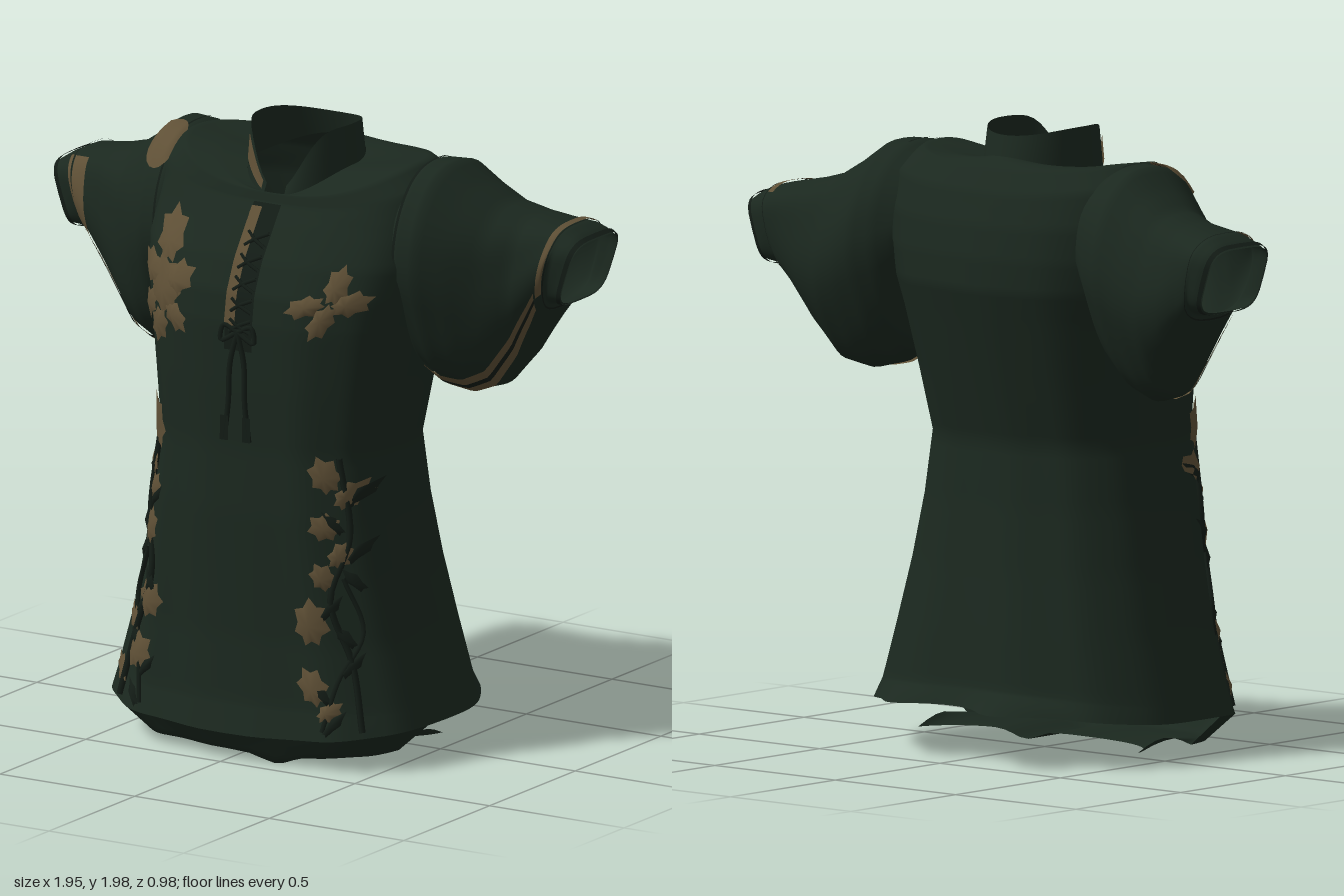
import * as THREE from 'three';
import { mergeVertices } from 'three/addons/utils/BufferGeometryUtils.js';

const mat = (name, color) => {
  const m = new THREE.MeshStandardMaterial({ color, side: THREE.DoubleSide });
  m.name = name;
  return m;
};
const { sin, cos, sign, abs, pow, exp, PI } = Math;
const spow = (v, p) => sign(v) * pow(abs(v), p);
const lerp = THREE.MathUtils.lerp;

// Smooth surface from a function of (u, v) in 0..1
function grid(fn, nu, nv) {
  const pos = [], idx = [];
  for (let j = 0; j <= nv; j++) for (let i = 0; i <= nu; i++) pos.push(...fn(i / nu, j / nv));
  for (let j = 0; j < nv; j++) for (let i = 0; i < nu; i++) {
    const a = j * (nu + 1) + i, b = a + nu + 1;
    idx.push(a, a + 1, b, a + 1, b + 1, b);
  }
  const g = new THREE.BufferGeometry();
  g.setAttribute('position', new THREE.Float32BufferAttribute(pos, 3));
  g.setIndex(idx);
  const merged = mergeVertices(g, 1e-4);
  merged.computeVertexNormals();
  return merged;
}
// Linear lookup in a table of rows, t in 0..1
function row(rows, t) {
  const f = Math.min(Math.max(t, 0), 1) * (rows.length - 1), i = Math.min(Math.floor(f), rows.length - 2);
  return rows[i].map((v, k) => lerp(v, rows[i + 1][k], f - i));
}

// Body rows: front y, side y, back y, half width, front z, back z
const BODY = [
  [.10, .14, .18, .58, .475, -.41], [.20, .20, .24, .565, .445, -.37], [.4, .4, .4, .51, .425, -.345],
  [.6, .6, .6, .465, .42, -.31], [.8, .8, .8, .43, .415, -.28], [1, 1, 1, .405, .40, -.26],
  [1.2, 1.2, 1.2, .43, .40, -.31], [1.4, 1.4, 1.4, .46, .395, -.36], [1.5, 1.5, 1.5, .48, .38, -.385],
  [1.6, 1.6, 1.6, .50, .335, -.38], [1.7, 1.72, 1.7, .505, .265, -.36], [1.76, 1.84, 1.8, .49, .22, -.32],
  [1.79, 1.9, 1.87, .42, .21, -.26], [1.79, 1.88, 1.89, .29, .205, -.23], [1.78, 1.86, 1.9, .175, .195, -.205]];
const FRONT = 2.85, BACK = 2.4;
const gauss = (x, w) => exp(-x * x / (w * w));

function body(th, t) {
  const [yF, yS, yB, w, zf, zb] = row(BODY, t);
  const s = sin(th), c = cos(th);
  // boxy below, rounder towards the neck
  const p = 2 / lerp(c > 0 ? FRONT : BACK, 2.1, Math.max(0, t - .8) * 5);
  const fold = t < .75 ? 1 + (.018 * (1 - t / .75) + .004) * cos(11 * th + 5 * t) : 1;
  const x = w * spow(s, p);
  let z = (zf + zb) / 2 + (zf - zb) / 2 * spow(c, p) * fold;
  // flared tips of the back hem
  if (c < 0) z -= Math.max(0, 1 - t / .055) * (.09 * gauss(x + .2, .12) + .06 * gauss(x - .27, .1));
  return [x, yS + ((c > 0 ? yF : yB) - yS) * c * c, z];
}
// Point on the front of the body above (x, y), lifted by d
function onFront(x, y, d = .008) {
  let th = 0, t = 0;
  for (let k = 0; k < 6; k++) {
    let lo = 0, hi = 1;
    for (let n = 0; n < 18; n++) { t = (lo + hi) / 2; body(th, t)[1] < y ? lo = t : hi = t; }
    th = sign(x) * Math.asin(Math.min(.985, pow(abs(x) / row(BODY, t)[3], FRONT / 2)));
  }
  return [x, y, body(th, t)[2] + d];
}

// Sleeve rings: x, bottom y, top y, back z, front z, tilt
const SLEEVE = [
  [.38, 1.36, 1.87, -.29, .16, 0], [.44, 1.24, 1.90, -.33, .19, 0], [.51, 1.19, 1.90, -.35, .18, 0],
  [.59, 1.17, 1.84, -.345, .13, 0], [.67, 1.19, 1.785, -.34, .07, .02], [.75, 1.28, 1.76, -.335, .02, .06],
  [.82, 1.39, 1.745, -.33, 0, .12], [.865, 1.45, 1.735, -.33, -.015, .2], [.88, 1.48, 1.73, -.325, -.03, .25],
  [.91, 1.485, 1.715, -.32, -.035, .3], [.94, 1.49, 1.695, -.31, -.04, .33]];
function sleeve(side, a, t, d = 0) {
  const [x, y0, y1, z0, z1, tilt] = row(SLEEVE, t);
  const p = lerp(.85, .5, Math.max(0, t - .5) * 2);
  const c = spow(cos(a), p), s = spow(sin(a), p);
  const pucker = 1 + .03 * sin(5 * a + 9 * t) * sin(PI * t);
  const taper = c < 0 ? 1 + .38 * c * (1 - t) : 1;
  const dy = ((y1 - y0) / 2 + d) * c;
  const dz = ((z1 - z0) / 2 * taper + d) * s * pucker;
  return [side * (x + tilt * dy), (y0 + y1) / 2 + dy, (z0 + z1) / 2 + dz];
}

// Jagged leaf: fan with a raised middle, laid outside (face 1) or inside (face -1) the body
function leaf(x, y, len, wid, rot, lobes = 3, face = 1) {
  const n = lobes * 4 + 2, pos = [...onFront(x, y, .03 * face)], idx = [];
  for (let i = 0; i < n; i++) {
    const a = i / n * 2 * PI, r = (i % 2 ? .72 : 1) * (1 + .15 * cos(a));
    const px = wid / 2 * r * sin(a), py = len / 2 * r * cos(a);
    pos.push(...onFront(x + px * cos(rot) - py * sin(rot), y + px * sin(rot) + py * cos(rot), .012 * face));
    idx.push(0, 1 + (i + 1) % n, 1 + i);
  }
  const g = new THREE.BufferGeometry();
  g.setAttribute('position', new THREE.Float32BufferAttribute(pos, 3));
  g.setIndex(idx);
  g.computeVertexNormals();
  return g;
}
// Cord following the front of the body
function cord(pts, r, d = .008) {
  const curve = new THREE.CatmullRomCurve3(pts.map(([x, y]) => new THREE.Vector3(...onFront(x, y, d))));
  return new THREE.TubeGeometry(curve, pts.length * 5, r, 5);
}

export function createModel() {
  const green = mat('dark green cloth', 0x1b281f);
  const dark = mat('deep green trim', 0x131c16);
  const brown = mat('brown leaf', 0x5f5036);
  const group = new THREE.Group();
  const add = (name, geo, m) => {
    const mesh = new THREE.Mesh(geo, m);
    mesh.name = name;
    group.add(mesh);
  };

  add('shirtBody', grid((u, v) => body(u * 2 * PI, v), 96, 84), green);

  // Front hem rolled under
  add('frontHemFold', grid((u, v) => {
    const th = lerp(-1.35, 1.35, u), [x, y, z] = body(th, 0), dip = .03 * gauss(x - .2, .08);
    const k = Math.min(1, v * 3), inner = Math.max(0, (v - 1 / 3) * 1.5), side = pow(abs(u - .5) * 2, 2);
    return [x * (1 - .2 * k), lerp(y, .04 - dip, k) + .035 * sin(PI * inner) * side,
      lerp(z - .04 * k * cos(th), .1 - .18 * side, inner)];
  }, 40, 9), green);

  // Sleeves with trims
  for (const side of [1, -1]) {
    const n = side > 0 ? 'left' : 'right';
    const patch = (a0, a1, t0, t1, d = .006) =>
      grid((u, v) => sleeve(side, lerp(a0, a1, u), lerp(t0, t1, v), d), 32, 6);
    // band running along the lower front edge, w = half its angle
    const trim = (shift, w) => grid((u, v) =>
      sleeve(side, lerp(2.75, 1.95, v * v) + shift + lerp(-w, w, u), lerp(.13, .66, v), .008), 6, 24);
    add(n + 'Sleeve', grid((u, v) => sleeve(side, u * 2 * PI, v), 48, 40), green);
    if (side > 0) {
      add('leftSleeveUpperTrim', trim(-.12, .07), brown);
      add('leftSleeveMiddleTrim', trim(0, .05), dark);
      add('leftSleeveLowerTrim', trim(.15, .1), brown);
      add('leftCuffBand', patch(-.7, 1.9, .67, .73), brown);
    } else {
      add('rightSleeveTrim', trim(.05, .06), dark);
      add('rightSleeveLowerTrim', trim(.2, .05), brown);
      add('rightCuffBand', patch(.6, 1.95, .6, .72), brown);
      add('rightCuffStripe', patch(.6, 2.3, .77, .82), brown);
    }
    add(n + 'CuffEdge', patch(0, 2 * PI, .95, 1), dark);
    add(n + 'CuffSeam', patch(0, 2 * PI, .74, .76), dark);
    add(n + 'ShoulderSeam', patch(-.2, 2.2, .1, .112, .004), dark);
  }
  add('shoulderPatch', grid((u, v) =>
    sleeve(-1, .52 + .4 * v * cos(u * 2 * PI), .15 + .09 * v * sin(u * 2 * PI), .008), 20, 5), brown);

  // Standing collar, open at the front
  const collar = (th, v, d = 0) => {
    const b = body(th, 1), c = cos(th);
    const top = c > 0 ? 1.99 - .2 * pow(c, 5) : 1.99 - .025 * c * c;
    return [b[0] * (1 - .04 * v) + d * sin(th), lerp(b[1] - .01, top, v), b[2] * (1 - .1 * v) + d * c];
  };
  add('collar', grid((u, v) => collar(lerp(.2, 2 * PI - .2, u), v), 48, 6), green);
  add('collarTrim', grid((u, v) => collar(lerp(-.8, -.25, u), lerp(.4, .95, v), .006), 10, 4), brown);

  // Neck opening, placket and lacing
  const strip = (x0, x1, y0, y1, d) => grid((u, v) => onFront(lerp(x0, x1, u), lerp(y0, y1, v), d), 4, 20);
  add('neckOpening', strip(-.05, .05, 1.32, 1.76, .004), dark);
  add('placketEdge', strip(-.05, -.012, 1.4, 1.75, .009), brown);
  for (let i = 0; i < 5; i++) {
    const y = 1.38 + i * .065;
    add('lace', cord([[-.03, y], [0, y + .02], [.045, y + .04]], .006), dark);
    add('lace', cord([[.045, y], [0, y + .02], [-.03, y + .04]], .006), dark);
  }
  for (const s of [1, -1]) {
    add('lacingTie', cord([[0, 1.38], [s * .025, 1.28], [s * .03, 1.15], [s * .045, 1.03]], .009), dark);
    add('tieEnd', strip(s * .04 - .015, s * .04 + .015, 1.03, 1.11, .016), dark);
    add('tieBow', cord([[0, 1.38], [s * .05, 1.4], [s * .06, 1.35], [0, 1.38]], .008), dark);
  }

  // Vines climbing both sides of the front
  for (const s of [1, -1]) {
    add('vine', cord([[s * .45, .14], [s * .4, .35], [s * .33, .55], [s * .37, .75], [s * .33, 1]], .011), dark);
    add('vine', cord([[s * .34, .14], [s * .37, .3], [s * .42, .45], [s * .36, .62]], .008), dark);
    for (let i = 0; i < 9; i++) {
      const y = .16 + i * .09, x = .37 - .04 * sin(i * 2);
      add('vineLeaf', leaf(s * x, y, .1, .035, s * (i % 2 ? .7 : -.6), 2), dark);
    }
  }

  // Brown leaves: x, y, length, width, turn
  const leaves = [
    [-.31, 1.62, .18, .13, .1], [-.37, 1.52, .14, .1, 1], [-.25, 1.51, .15, .11, -1], [-.30, 1.47, .2, .16, .3],
    [-.38, 1.41, .13, .09, 2.4], [-.25, 1.40, .13, .08, -2.3], [-.32, 1.36, .12, .09, 3],
    [.32, 1.55, .13, .08, -.2], [.24, 1.49, .14, .07, 1.9], [.36, 1.50, .12, .08, -1.2], [.29, 1.45, .14, .07, 2.6],
    [-.34, 1.02, .19, .1, .2], [-.37, .9, .12, .09, .8], [-.34, .82, .1, .07, -.5], [-.35, .69, .13, .08, -.2],
    [-.34, .46, .13, .12, -.6], [-.42, .38, .1, .07, .6], [-.38, .29, .14, .12, -.9], [-.46, .21, .11, .07, .7],
    [.30, .94, .13, .09, .4], [.36, .88, .11, .07, -.6], [.31, .78, .1, .09, .9], [.35, .69, .1, .07, -.4],
    [.31, .62, .1, .07, .5], [.28, .47, .16, .12, .1], [.30, .27, .14, .1, .6], [.35, .2, .09, .06, -.9]];
  for (const [x, y, l, w, r] of leaves) {
    add('leaf', leaf(x, y, l, w, r), brown);
    if (x > 0 && y < .5) add('innerLeaf', leaf(x, y, l, w, r, 3, -1), brown);
  }

  return group;
}
